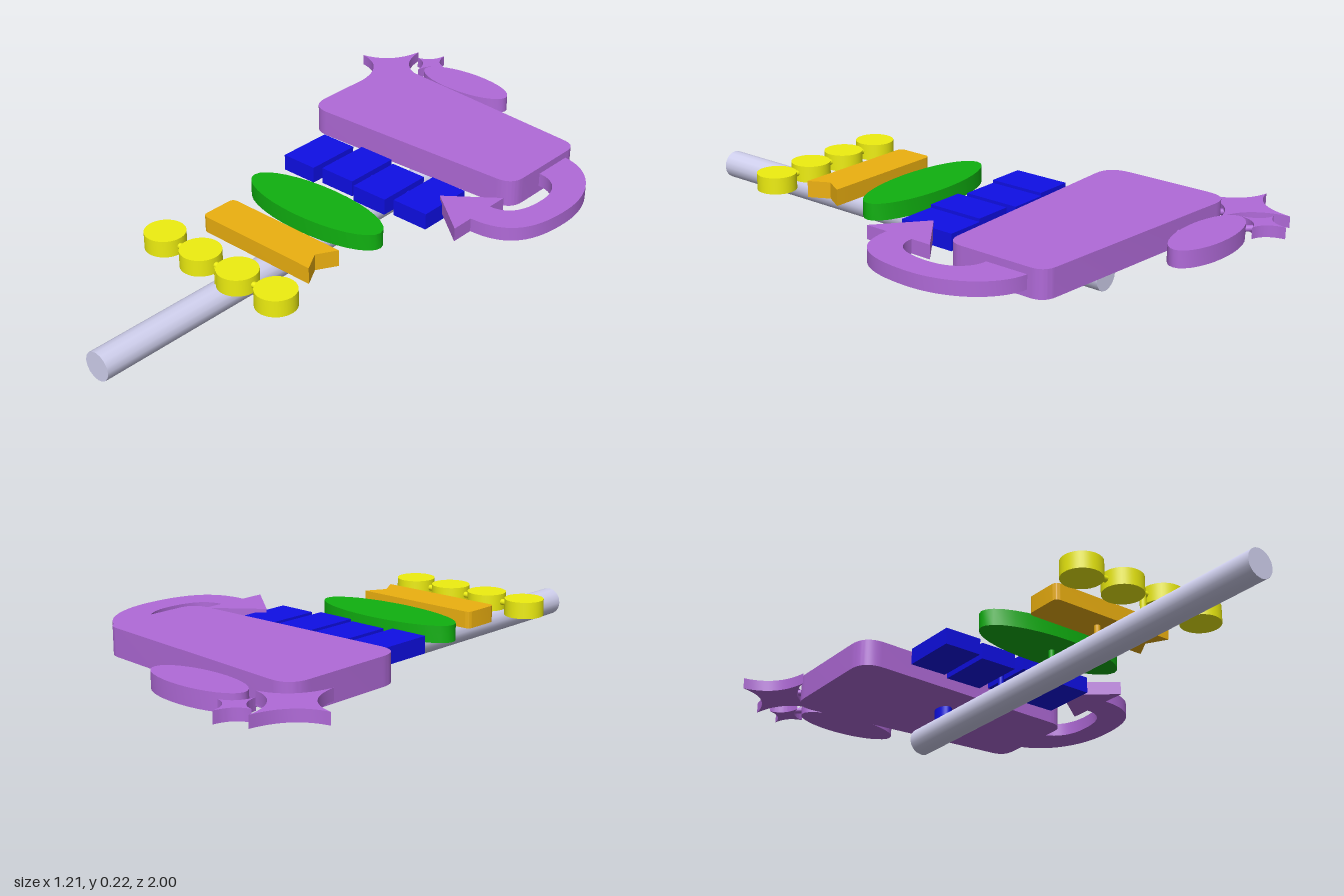
import * as THREE from 'three';
import { toCreasedNormals } from 'three/addons/utils/BufferGeometryUtils.js';

const mat = (color) => new THREE.MeshStandardMaterial({ color });
const CX = -0.005; // pole axis
const BASE = 0.125, TOP = 0.18; // height range of the small signs

export function createModel() {
  const model = new THREE.Group();
  const purple = mat(0xb06ad8), blue = mat(0x0f0fe6), green = mat(0x10b010);
  const orange = mat(0xecb010), yellow = mat(0xeeee10), lavender = mat(0xd0d0ee);

  const add = (name, geometry, material, parent = model) => {
    const mesh = new THREE.Mesh(geometry, material);
    mesh.name = name;
    parent.add(mesh);
    return mesh;
  };

  // Flat plate: shape drawn in (x, z), filling y0..y1
  const plate = (name, shape, y0, y1, material, parent) => {
    const g = new THREE.ExtrudeGeometry(shape, { depth: y1 - y0, bevelEnabled: false, curveSegments: 16 });
    g.rotateX(Math.PI / 2).translate(0, y1, 0);
    return add(name, toCreasedNormals(g, 0.6), material, parent);
  };

  // Thin round bar between two points
  const rod = (name, a, b, r, material, parent) => {
    const p = new THREE.Vector3(...a), q = new THREE.Vector3(...b);
    const d = q.clone().sub(p);
    const mesh = add(name, new THREE.CylinderGeometry(r, r, d.length(), 16), material, parent);
    mesh.position.copy(p).add(q).multiplyScalar(0.5);
    mesh.quaternion.setFromUnitVectors(new THREE.Vector3(0, 1, 0), d.normalize());
    return mesh;
  };

  // Post joining a sign to the pole
  const post = (name, z, material) => rod(name, [CX, 0.08, z], [CX, 0.15, z], 0.01, material);

  const ellipse = (x, z, rx, rz) => {
    const s = new THREE.Shape();
    s.absellipse(x, z, rx, rz, 0, Math.PI * 2, false, 0);
    return s;
  };

  // Polygon with each corner [x, z, radius] softened
  const rounded = (corners) => {
    const s = new THREE.Shape(), n = corners.length;
    corners.forEach(([x, z, r], i) => {
      const toward = ([px, pz]) => {
        const l = Math.hypot(px - x, pz - z);
        return [x + (px - x) * r / l, z + (pz - z) * r / l];
      };
      const a = toward(corners[(i + n - 1) % n]), b = toward(corners[(i + 1) % n]);
      if (i) s.lineTo(...a); else s.moveTo(...a);
      if (r) s.quadraticCurveTo(x, z, ...b);
    });
    s.closePath();
    return s;
  };

  // Four-pointed star with concave sides
  const star = (x, z, rx, rz) => {
    const s = new THREE.Shape(), k = 0.13;
    const tips = [[1, 0], [0, 1], [-1, 0], [0, -1]];
    s.moveTo(x + rx, z);
    tips.forEach(([u, v], i) => {
      const [m, w] = tips[(i + 1) % 4];
      s.quadraticCurveTo(x + (u + m) * k * rx, z + (v + w) * k * rz, x + m * rx, z + w * rz);
    });
    return s;
  };

  // Pole lying along z
  rod('pole', [CX, 0.047, -0.62], [CX, 0.047, 1], 0.047, lavender);

  // Main board and its mount
  plate('mainBoard', rounded([
    [-0.43, -0.777, 0.08], [0.413, -0.703, 0.05], [0.413, -0.355, 0.06], [-0.43, -0.328, 0.08],
  ]), BASE, 0.215, purple);
  const mount = add('boardMount', new THREE.CylinderGeometry(1, 1, 0.055, 32), blue);
  mount.scale.set(0.025, 1, 0.0375);
  mount.position.set(CX, 0.1, -0.493);

  // Oval topper and stars with their links
  plate('topperOval', ellipse(-0.167, -0.857, 0.18, 0.073), 0.144, 0.198, purple);
  plate('largeStar', star(-0.468, -0.804, 0.137, 0.157), 0.15, 0.187, purple);
  plate('smallStar', star(-0.375, -0.922, 0.064, 0.076), 0.15, 0.187, purple);
  [
    ['ovalLink', [-0.175, 0.168, -0.82], [-0.175, 0.168, -0.72]],
    ['largeStarLink', [-0.465, 0.168, -0.8], [-0.38, 0.168, -0.725]],
    ['smallStarLink', [-0.375, 0.168, -0.92], [-0.29, 0.168, -0.845]],
  ].forEach(([name, a, b]) => rod(name, a, b, 0.01, purple));

  // Curved arrow sweeping from the board's side
  const arrow = new THREE.Shape();
  arrow.moveTo(0.38, -0.65);
  arrow.lineTo(0.41, -0.647);
  arrow.bezierCurveTo(0.53, -0.635, 0.608, -0.51, 0.608, -0.38);
  arrow.bezierCurveTo(0.608, -0.22, 0.56, -0.135, 0.42, -0.135);
  arrow.lineTo(0.42, -0.056);
  arrow.lineTo(0.263, -0.18);
  arrow.lineTo(0.42, -0.302);
  arrow.lineTo(0.42, -0.232);
  arrow.bezierCurveTo(0.485, -0.232, 0.516, -0.28, 0.516, -0.375);
  arrow.bezierCurveTo(0.516, -0.45, 0.475, -0.503, 0.41, -0.503);
  arrow.lineTo(0.38, -0.503);
  plate('arrow', arrow, 0.147, 0.192, purple);

  // Row of staggered letter tiles
  const tiles = new THREE.Group();
  tiles.name = 'blueTiles';
  model.add(tiles);
  for (let i = 0; i < 4; i++) {
    add('blueTile', new THREE.BoxGeometry(0.13, TOP - BASE, 0.194), blue, tiles)
      .position.set(-0.231 + i * 0.152, (BASE + TOP) / 2, i % 2 ? -0.175 : -0.157);
  }
  rod('tileLink', [-0.23, 0.153, -0.175], [0.22, 0.153, -0.175], 0.01, blue, tiles);
  post('tilePost', -0.165, blue);

  // Oval sign
  plate('greenOval', ellipse(-0.01, 0.098, 0.268, 0.094), BASE, TOP, green);
  post('ovalPost', 0.1, green);

  // Banner with a notched end
  plate('orangeBanner', rounded([
    [-0.217, 0.255, 0.02], [0.23, 0.255, 0], [0.193, 0.32, 0], [0.23, 0.386, 0], [-0.217, 0.386, 0.02],
  ]), BASE, TOP, orange);
  post('bannerPost', 0.322, orange);

  // Row of linked discs
  const discs = new THREE.Group();
  discs.name = 'yellowDiscs';
  model.add(discs);
  for (let i = 0; i < 4; i++) {
    add('yellowDisc', new THREE.CylinderGeometry(0.065, 0.065, TOP - BASE, 40), yellow, discs)
      .position.set(-0.235 + i * 0.156, (BASE + TOP) / 2, 0.526);
  }
  rod('discLink', [-0.23, 0.153, 0.526], [0.23, 0.153, 0.526], 0.01, yellow, discs);
  post('discPost', 0.53, yellow);

  return model;
}
